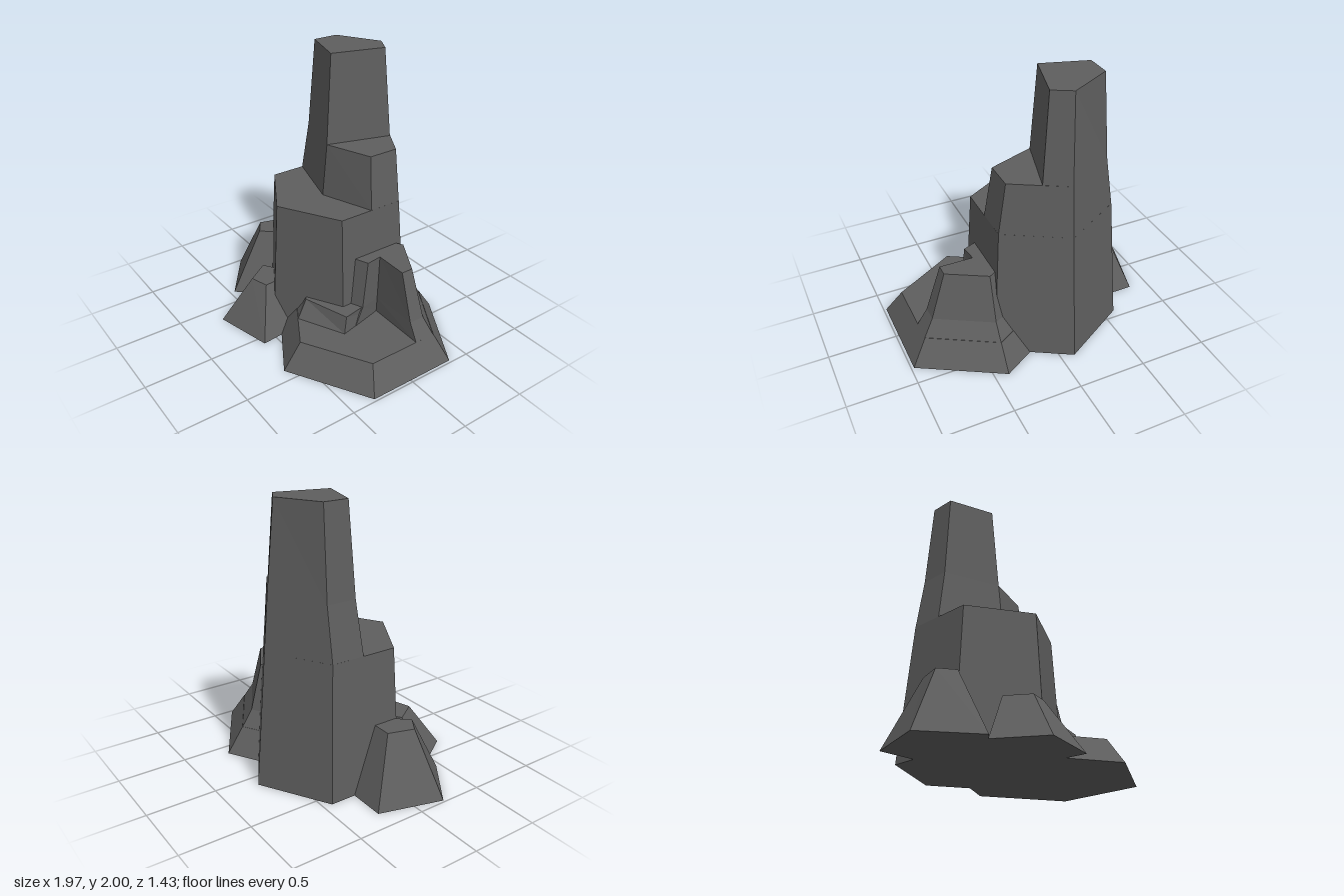
import * as THREE from 'three';

const rock = new THREE.MeshStandardMaterial({ color: 0x5e5e5e, flatShading: true });
rock.name = 'dark grey rock';

// Joins horizontal outlines [y, [[x, z], ...]] into a faceted block with a flat top.
function block(name, layers) {
  const rings = layers.map(([y, pts]) => {
    const p = pts.map(([x, z]) => new THREE.Vector2(x, z));
    if (THREE.ShapeUtils.area(p) < 0) p.reverse();
    return { y, p };
  });
  const out = [];
  const put = (r, i) => out.push(r.p[i].x, r.y, r.p[i].y);
  for (let k = 0; k < rings.length - 1; k++) {
    const a = rings[k], b = rings[k + 1], n = a.p.length;
    for (let i = 0; i < n; i++) {
      const j = (i + 1) % n;
      put(a, i); put(b, j); put(a, j);
      put(a, i); put(b, i); put(b, j);
    }
  }
  const top = rings[rings.length - 1], base = rings[0];
  for (const [i, j, k] of THREE.ShapeUtils.triangulateShape(top.p, [])) {
    put(top, i); put(top, k); put(top, j);
  }
  // Only blocks standing on the ground need an underside
  if (base.y === 0) {
    for (const [i, j, k] of THREE.ShapeUtils.triangulateShape(base.p, [])) {
      put(base, i); put(base, j); put(base, k);
    }
  }
  const g = new THREE.BufferGeometry();
  g.setAttribute('position', new THREE.Float32BufferAttribute(out, 3));
  g.computeVertexNormals();
  const mesh = new THREE.Mesh(g, rock);
  mesh.name = name;
  return mesh;
}

// Hexagon with corners pointing to the front and back
function hex(cx, cz, r) {
  return Array.from({ length: 6 }, (_, i) => {
    const a = (i * Math.PI) / 3;
    return [cx + r * Math.sin(a), cz + r * Math.cos(a)];
  });
}

export function createModel() {
  const model = new THREE.Group();
  model.name = 'rockFormation';

  // Stepped spire: each tier is cut back from the one below
  const spire = new THREE.Group();
  spire.name = 'spire';
  spire.add(
    block('spireBase', [
      [0, hex(-0.1, -0.15, 0.57)],
      [0.98, hex(-0.1, -0.137, 0.497)],
    ]),
    block('spireMiddle', [
      [0.98, [[-0.055, 0], [0.33, -0.14], [0.33, -0.385], [-0.1, -0.634], [-0.53, -0.385], [-0.53, -0.14]]],
      [1.36, [[-0.06, -0.04], [0.275, -0.165], [0.275, -0.385], [-0.1, -0.6], [-0.47, -0.385], [-0.47, -0.165]]],
    ]),
    block('spireTop', [
      [1.36, [[-0.06, -0.04], [0.07, -0.5], [-0.1, -0.6], [-0.47, -0.385], [-0.47, -0.165]]],
      [2, [[-0.085, -0.09], [0.02, -0.47], [-0.115, -0.545], [-0.42, -0.375], [-0.42, -0.19]]],
    ]),
  );

  // Broad stepped mound beside the spire
  const mound = new THREE.Group();
  mound.name = 'sideMound';
  mound.add(
    block('moundBase', [
      [0, hex(0.4, -0.02, 0.67)],
      [0.185, hex(0.4, -0.025, 0.537)],
    ]),
    block('moundLedge', [
      [0.185, [[0.17, 0.376], [0.505, 0.21], [0.42, -0.14], [0, -0.14], [-0.065, 0.24]]],
      [0.305, [[0.145, 0.29], [0.485, 0.18], [0.425, -0.14], [0, -0.14], [0.01, 0.195]]],
    ]),
    block('moundPeak', [
      [0.185, [[0.4, -0.56], [0.865, -0.29], [0.865, -0.135], [0.42, -0.14], [0.478, 0.09], [0.2, 0.2], [-0.065, -0.29]]],
      [0.305, [[0.4, -0.48], [0.79, -0.255], [0.79, -0.14], [0.425, -0.14], [0.462, 0.02], [0.2, 0.13], [0.01, -0.255]]],
      [0.65, [[0.4, -0.388], [0.675, -0.232], [0.675, -0.145], [0.43, -0.148], [0.447, -0.03], [0.25, 0.05], [0.125, -0.232]]],
    ]),
  );

  // Two small boulders
  const sideBoulder = block('sideBoulder', [
    [0, [[-0.855, -0.25], [-0.985, 0.205], [-0.625, 0.465], [-0.41, 0.22], [-0.42, -0.25]]],
    [0.465, [[-0.7, -0.06], [-0.755, 0.125], [-0.64, 0.2], [-0.56, 0.11], [-0.54, -0.06]]],
  ]);
  const frontBoulder = block('frontBoulder', [
    [0, [[-0.57, 0.4], [-0.36, 0.715], [0.07, 0.605], [0.03, 0.25], [-0.38, 0.15]]],
    [0.33, [[-0.385, 0.33], [-0.275, 0.49], [-0.14, 0.45], [-0.15, 0.34], [-0.31, 0.28]]],
  ]);

  model.add(spire, mound, sideBoulder, frontBoulder);
  return model;
}
